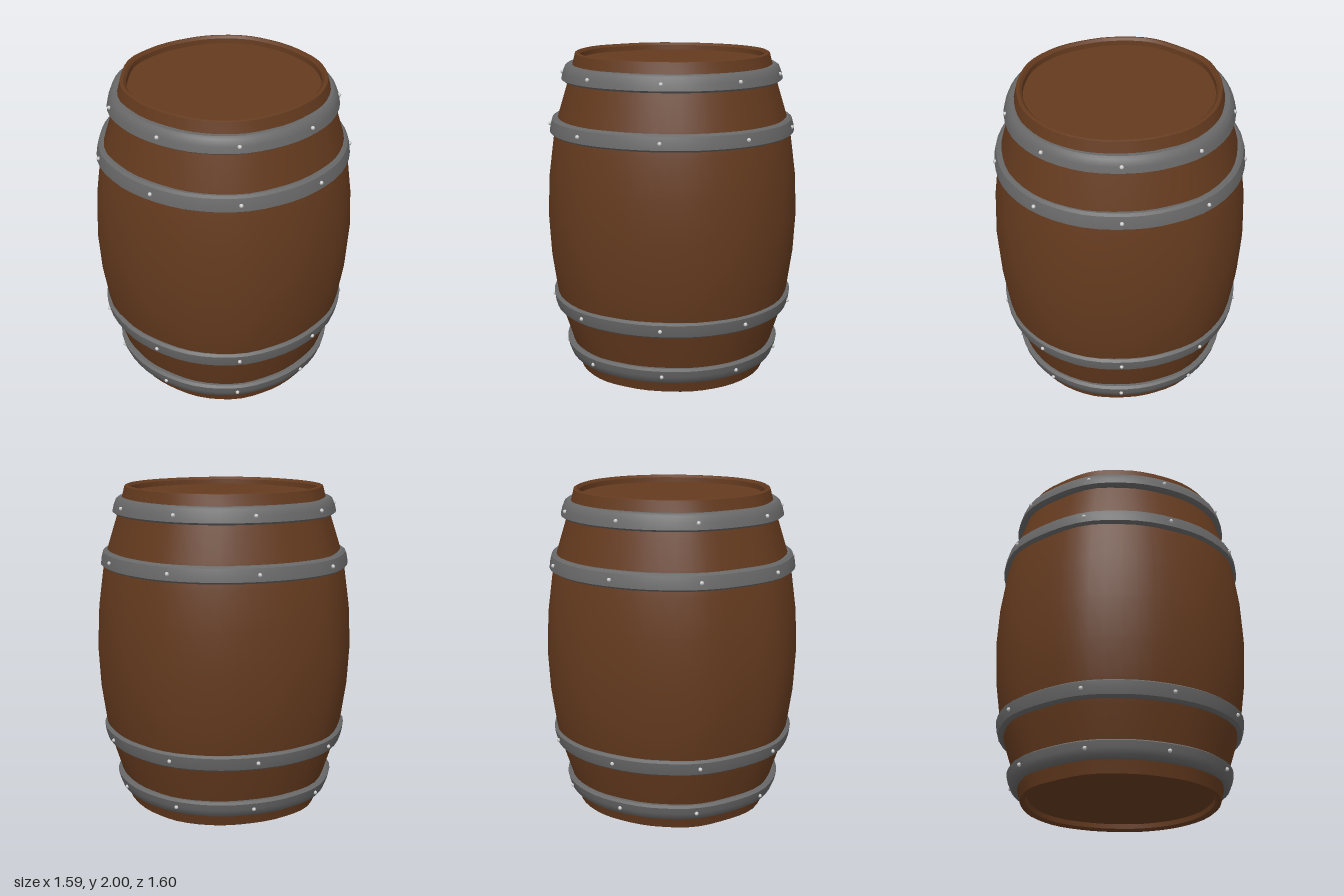
import * as THREE from 'three';
import { toCreasedNormals } from 'three/addons/utils/BufferGeometryUtils.js';

const wood = new THREE.MeshStandardMaterial({ color: 0x643a1e });
const iron = new THREE.MeshStandardMaterial({ color: 0x686868 });
const steel = new THREE.MeshStandardMaterial({ color: 0xcccccc });

// Uneven hand-made outline: relative radius every 20 degrees from +x to -x
const outline = [0.994, 0.988, 0.972, 0.978, 1.0, 0.996, 0.984, 0.996, 1.02, 1.0];
function wobble(angle) {
  const t = Math.abs(angle) / (Math.PI / 9);
  const i = Math.min(Math.floor(t), 8);
  const s = (1 - Math.cos((t - i) * Math.PI)) / 2;
  return outline[i] + (outline[i + 1] - outline[i]) * s;
}

// Revolve a profile, then push it in and out along the uneven outline
function unevenLathe(profile, amount, segments = 54) {
  const geo = new THREE.LatheGeometry(profile.map(([r, y]) => new THREE.Vector2(r, y)), segments);
  const p = geo.attributes.position;
  for (let i = 0; i < p.count; i++) {
    const x = p.getX(i), z = p.getZ(i);
    const k = 1 + (wobble(Math.atan2(z, x)) - 1) * amount;
    p.setX(i, x * k);
    p.setZ(i, z * k);
  }
  return toCreasedNormals(geo, 0.6);
}

function add(parent, name, geo, material) {
  const mesh = new THREE.Mesh(geo, material);
  mesh.name = name;
  parent.add(mesh);
  return mesh;
}

export function createModel() {
  const barrel = new THREE.Group();
  barrel.name = 'barrel';

  // Bulging wall with rims that turn inward at both ends
  const upper = [[0.8, 1], [0.787, 1.25], [0.755, 1.48], [0.722, 1.62], [0.665, 1.8],
    [0.63, 1.92], [0.61, 1.995], [0.6, 2], [0.59, 2], [0.575, 1.985], [0.57, 1.93]];
  const lower = upper.slice(1).reverse().map(([r, y]) => [r, 2 - y]);
  add(barrel, 'staves', unevenLathe([...lower, ...upper], 1), wood);

  // Recessed round heads
  for (const [name, y] of [['topHead', 1.945], ['bottomHead', 0.055]]) {
    add(barrel, name, new THREE.CylinderGeometry(0.585, 0.585, 0.02, 48), wood).position.y = y;
  }

  // Iron hoops, each with nine rivets
  const rivet = new THREE.SphereGeometry(0.012, 10, 8);
  const hoops = [['topHoop', 1.88, 0.682, 0.012], ['upperHoop', 1.56, 0.765, 0.008],
    ['lowerHoop', 0.45, 0.765, -0.008], ['bottomHoop', 0.13, 0.682, -0.012]];
  for (const [name, y, r, slope] of hoops) {
    const hoop = new THREE.Group();
    hoop.name = name;
    hoop.position.set(-0.006, y, 0);
    const h = 0.05;
    add(hoop, 'band', unevenLathe([
      [r - 0.07, -h], [r - 0.02 + slope, -h], [r - 0.003 + slope, -h + 0.012],
      [r, 0],
      [r - 0.003 - slope, h - 0.012], [r - 0.02 - slope, h], [r - 0.07, h],
    ], 0.6), iron);
    for (let i = 0; i < 9; i++) {
      const a = Math.atan2(Math.sin(i * Math.PI * 2 / 9), Math.cos(i * Math.PI * 2 / 9));
      const d = r * (1 + (wobble(a) - 1) * 0.6) + 0.002;
      add(hoop, 'rivet', rivet, steel).position.set(d * Math.cos(a), 0, d * Math.sin(a));
    }
    barrel.add(hoop);
  }
  return barrel;
}
